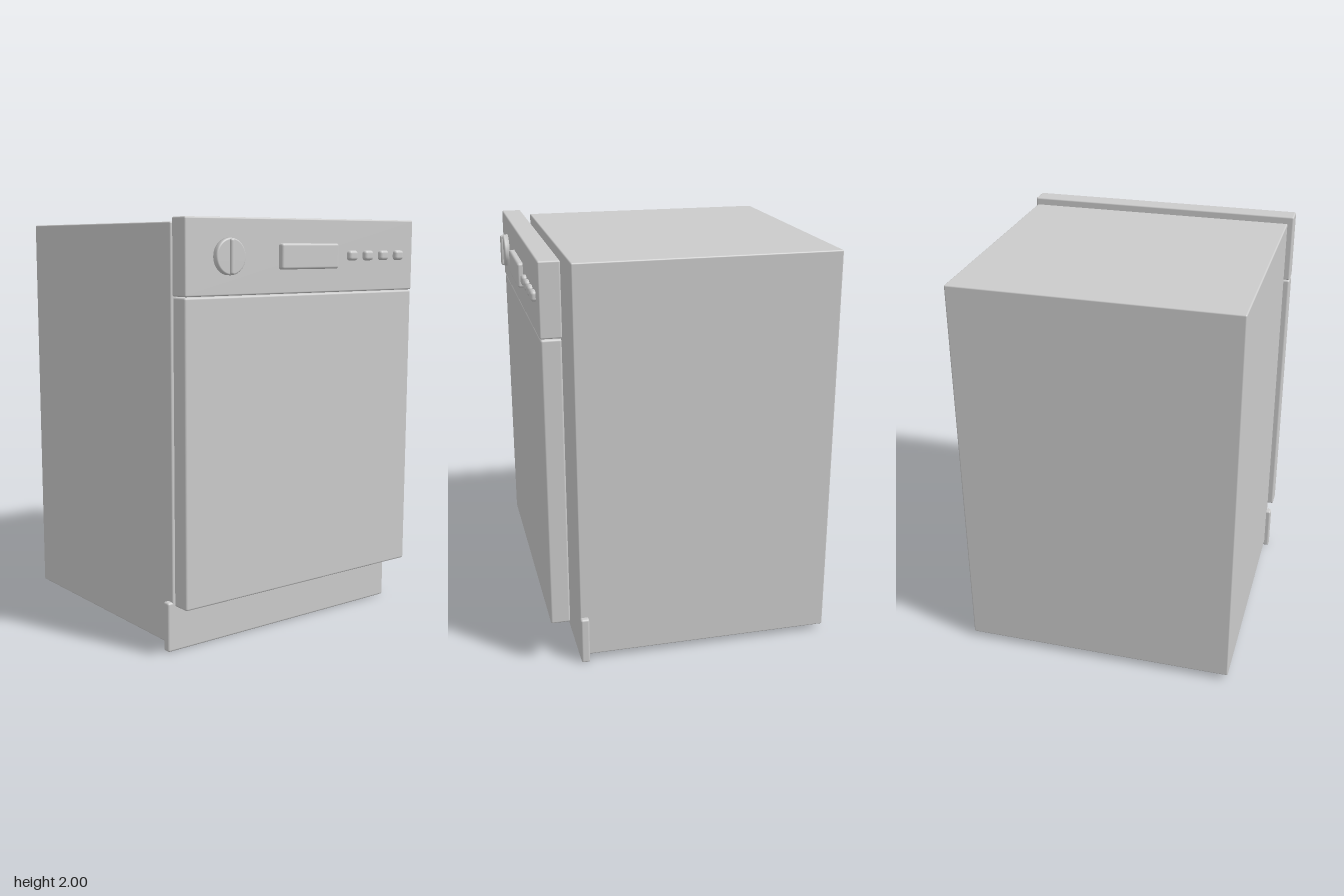
import * as THREE from 'three';
import { RoundedBoxGeometry } from 'three/addons/geometries/RoundedBoxGeometry.js';

export function createModel() {
  const group = new THREE.Group();
  const material = new THREE.MeshStandardMaterial({ color: 0xcccccc });

  const add = (name, geometry, parent = group) => {
    const mesh = new THREE.Mesh(geometry, material);
    mesh.name = name;
    parent.add(mesh);
    return mesh;
  };

  // Softly rounded box given by its extents along each axis
  const box = (name, [x0, x1], [y0, y1], [z0, z1], radius) => {
    const mesh = add(name, new RoundedBoxGeometry(x1 - x0, y1 - y0, z1 - z0, 4, radius));
    mesh.position.set((x0 + x1) / 2, (y0 + y1) / 2, (z0 + z1) / 2);
    return mesh;
  };

  // Cabinet, door, control panel and recessed plinth
  box('cabinet', [-0.68, 0.68], [0.03, 1.98], [-0.727, 0.537], 0.007);
  box('door', [-0.705, 0.705], [0.24, 1.652], [0.588, 0.682], 0.01);
  box('controlPanel', [-0.705, 0.705], [1.655, 2], [0.585, 0.685], 0.008);
  box('plinth', [-0.705, 0.705], [0, 0.238], [0.495, 0.537], 0.01);

  // Display and button row
  const rowY = 1.828;
  box('display', [-0.178, 0.176], [1.767, 1.886], [0.66, 0.712], 0.012);
  for (let i = 0; i < 4; i++) {
    const x = 0.28 + i * 0.105;
    box('button', [x - 0.029, x + 0.029], [rowY - 0.024, rowY + 0.024], [0.66, 0.708], 0.015);
  }

  // Dial with a rounded rim and a vertical grip ridge
  const dial = new THREE.Group();
  dial.name = 'dial';
  dial.position.set(-0.472, rowY, 0.685);
  group.add(dial);
  const profile = [[0, -0.01], [0.082, -0.01], [0.082, 0.019]];
  for (let i = 1; i <= 5; i++) {
    const a = (i / 5) * Math.PI / 2;
    profile.push([0.074 + 0.008 * Math.cos(a), 0.019 + 0.008 * Math.sin(a)]);
  }
  profile.push([0, 0.027]);
  const knob = add('knob', new THREE.LatheGeometry(profile.map(([r, h]) => new THREE.Vector2(r, h)), 48), dial);
  knob.rotation.x = Math.PI / 2;
  const ridge = add('gripRidge', new THREE.CapsuleGeometry(0.011, 0.138, 6, 16), dial);
  ridge.position.z = 0.029;

  return group;
}
